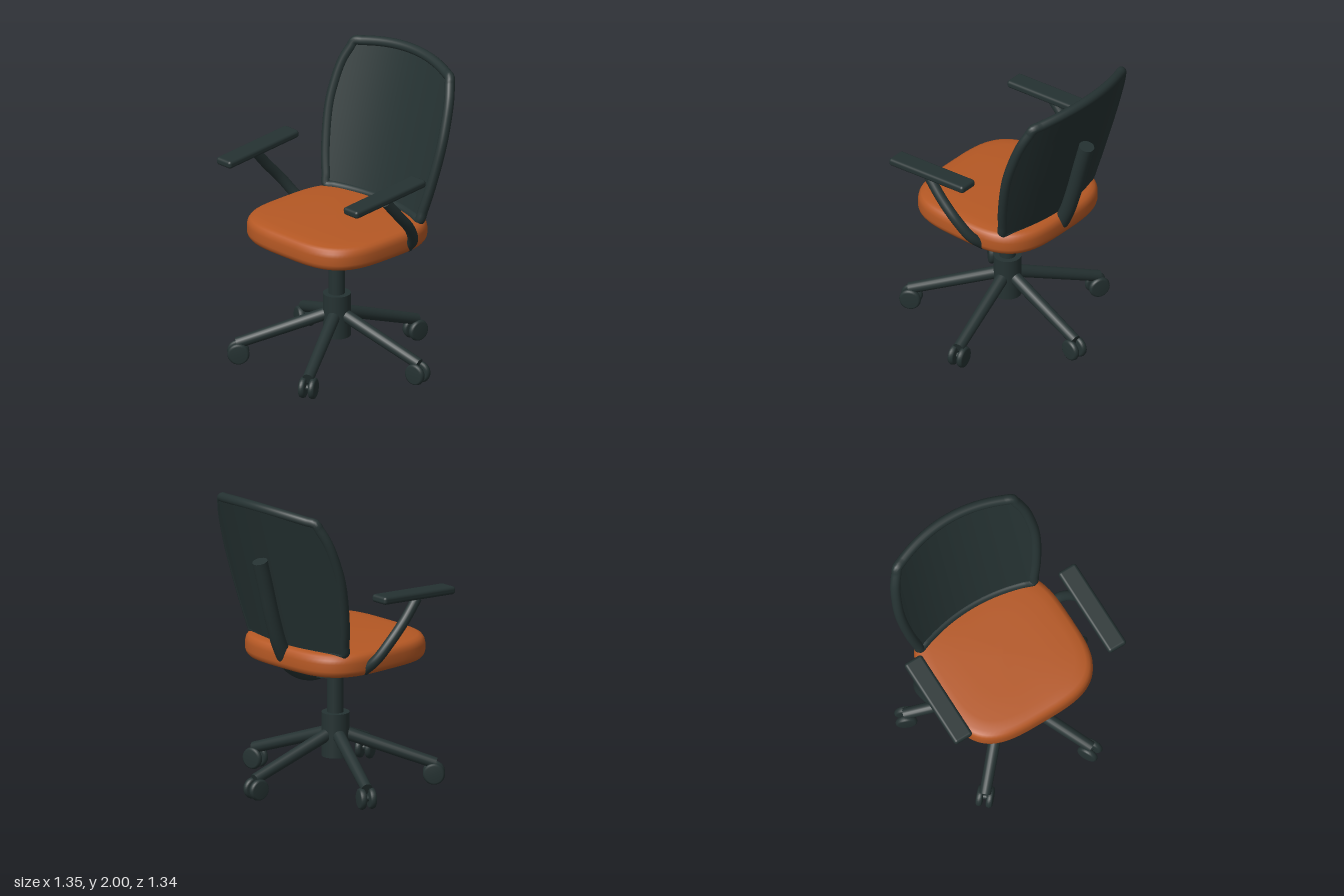
import * as THREE from 'three';
import { RoundedBoxGeometry } from 'three/addons/geometries/RoundedBoxGeometry.js';

const V = (x, y, z) => new THREE.Vector3(x, y, z);

export function createModel() {
  const dark = new THREE.MeshStandardMaterial({ name: 'dark slate plastic', color: 0x253232 });
  const orange = new THREE.MeshStandardMaterial({ name: 'orange fabric', color: 0xb55824 });
  const chair = new THREE.Group();
  chair.name = 'officeChair';
  chair.position.x = -0.02;

  function add(parent, name, geometry, material, x = 0, y = 0, z = 0) {
    const mesh = new THREE.Mesh(geometry, material);
    mesh.name = name;
    mesh.position.set(x, y, z);
    parent.add(mesh);
    return mesh;
  }

  // Curved round bar with flat ends
  function bar(parent, name, points, r) {
    const curve = new THREE.CatmullRomCurve3(points);
    const group = new THREE.Group();
    group.name = name;
    add(group, name + 'Tube', new THREE.TubeGeometry(curve, 40, r, 20), dark);
    for (const t of [0, 1]) {
      const p = curve.getPoint(t);
      const cap = add(group, name + 'End', new THREE.CircleGeometry(r, 20), dark, p.x, p.y, p.z);
      const dir = curve.getTangent(t).multiplyScalar(t ? 1 : -1);
      cap.quaternion.setFromUnitVectors(V(0, 0, 1), dir);
    }
    parent.add(group);
  }

  // Column, hub and mechanism under the seat
  add(chair, 'column', new THREE.CylinderGeometry(0.053, 0.053, 0.5, 32), dark, 0, 0.6, 0.042);
  add(chair, 'hub', new THREE.CylinderGeometry(0.09, 0.09, 0.29, 32), dark, 0, 0.335, 0.042);
  add(chair, 'seatMechanism', new THREE.CylinderGeometry(0.18, 0.18, 0.11, 40), dark, 0, 0.81, 0.01);

  // Five legs, each with a twin-wheel castor
  const wheelProfile = [[0, -0.021], [0.055, -0.021], [0.066, -0.015], [0.071, 0],
    [0.066, 0.015], [0.055, 0.021], [0, 0.021]].map(([x, y]) => new THREE.Vector2(x, y));
  const wheelGeometry = new THREE.LatheGeometry(wheelProfile, 32).rotateX(Math.PI / 2);
  const legStart = V(0.03, 0.35, 0), legEnd = V(0.64, 0.135, 0);
  const legDir = legEnd.clone().sub(legStart);
  const legGeometry = new THREE.CylinderGeometry(0.037, 0.042, legDir.length(), 20);
  for (let i = 0; i < 5; i++) {
    const leg = new THREE.Group();
    leg.name = 'leg' + (i + 1);
    leg.position.z = 0.042;
    leg.rotation.y = -THREE.MathUtils.degToRad(-11 + i * 72);
    const mid = legStart.clone().lerp(legEnd, 0.5);
    const beam = add(leg, 'legBeam', legGeometry, dark, mid.x, mid.y, 0);
    beam.quaternion.setFromUnitVectors(V(0, 1, 0), legDir.clone().normalize());
    for (const s of [-1, 1]) add(leg, 'castorWheel', wheelGeometry, dark, 0.63, 0.071, s * 0.033);
    const axle = add(leg, 'castorAxle', new THREE.CylinderGeometry(0.02, 0.02, 0.06, 12), dark, 0.63, 0.071, 0);
    axle.rotation.x = Math.PI / 2;
    chair.add(leg);
  }

  // Seat cushion: rounded-square rings, from the underside to the domed top
  const rings = [[0.001, 0.855], [0.93, 0.855], [0.965, 0.862], [0.99, 0.88], [1, 0.9], [1, 0.95],
    [0.99, 0.975], [0.965, 0.995], [0.92, 1.006], [0.8, 1.014], [0.5, 1.02], [0.001, 1.022]];
  const N = 72, positions = [], index = [];
  const power = (c) => Math.sign(c) * Math.abs(c) ** (2 / 3.4);
  rings.forEach(([s, y], j) => {
    for (let i = 0; i < N; i++) {
      const a = (i / N) * Math.PI * 2;
      positions.push(0.51 * s * power(Math.cos(a)), y, 0.04 + 0.49 * s * power(Math.sin(a)));
      if (j === rings.length - 1) continue;
      const p = j * N + i, q = j * N + ((i + 1) % N);
      index.push(p, p + N, q, q, p + N, q + N);
    }
  });
  const seat = new THREE.BufferGeometry();
  seat.setAttribute('position', new THREE.Float32BufferAttribute(positions, 3));
  seat.setIndex(index);
  seat.computeVertexNormals();
  add(chair, 'seatCushion', seat, orange);

  // Backrest surface: u across (-1..1), v upward (0..1), off = depth towards the front
  const side = new THREE.CatmullRomCurve3([[0.425, 1.01], [0.475, 1.22], [0.512, 1.5],
    [0.507, 1.66], [0.485, 1.8], [0.435, 1.925]].map(([x, y]) => V(x, y, 0)));
  function backPoint(u, v, off) {
    const edge = side.getPoint(v);
    const x = u * edge.x;
    const y = edge.y + 0.043 * v * (1 - u * u);
    return V(x, y + off * 0.28, -0.357 - 0.289 * (y - 1) + 0.43 * x * x + off);
  }
  const panel = new THREE.BoxGeometry(2, 1, 1, 28, 28, 1);
  const pos = panel.attributes.position;
  for (let i = 0; i < pos.count; i++) {
    const p = backPoint(pos.getX(i), pos.getY(i) + 0.5, pos.getZ(i) > 0 ? 0.012 : -0.03);
    pos.setXYZ(i, p.x, p.y, p.z);
  }
  panel.computeVertexNormals();
  add(chair, 'backrestPanel', panel, dark);

  // Rim running round the backrest
  const rim = [], M = 16;
  for (let i = 0; i < M; i++) rim.push(backPoint(-1 + (2 * i) / M, 0, 0));
  for (let i = 0; i < M; i++) rim.push(backPoint(1, i / M, 0));
  for (let i = 0; i < M; i++) rim.push(backPoint(1 - (2 * i) / M, 1, 0));
  for (let i = 0; i < M; i++) rim.push(backPoint(-1, 1 - i / M, 0));
  const rimCurve = new THREE.CatmullRomCurve3(rim, true, 'centripetal');
  add(chair, 'backrestRim', new THREE.TubeGeometry(rimCurve, 240, 0.033, 14, true), dark);

  // Bent bar carrying the backrest
  bar(chair, 'backSupport', [V(0, 0.81, 0.02), V(0, 0.775, -0.12), V(0, 0.8, -0.25), V(0, 0.88, -0.37),
    V(0, 1.01, -0.445), V(0, 1.2, -0.51), V(0, 1.42, -0.57), V(0, 1.605, -0.622)], 0.05);

  // Armrests, mirrored left and right
  for (const [name, s] of [['left', 1], ['right', -1]]) {
    bar(chair, name + 'ArmSupport', [V(s * 0.46, 0.88, -0.145), V(s * 0.54, 0.96, -0.11),
      V(s * 0.59, 1.08, -0.03), V(s * 0.603, 1.2, 0.08), V(s * 0.6, 1.325, 0.19)], 0.034);
    const pad = add(chair, name + 'ArmPad', new RoundedBoxGeometry(0.132, 0.052, 0.625, 4, 0.02), dark, s * 0.582, 1.352, 0.182);
    pad.rotation.x = 0.075;
  }

  const model = new THREE.Group();
  model.name = 'model';
  model.add(chair);
  return model;
}
